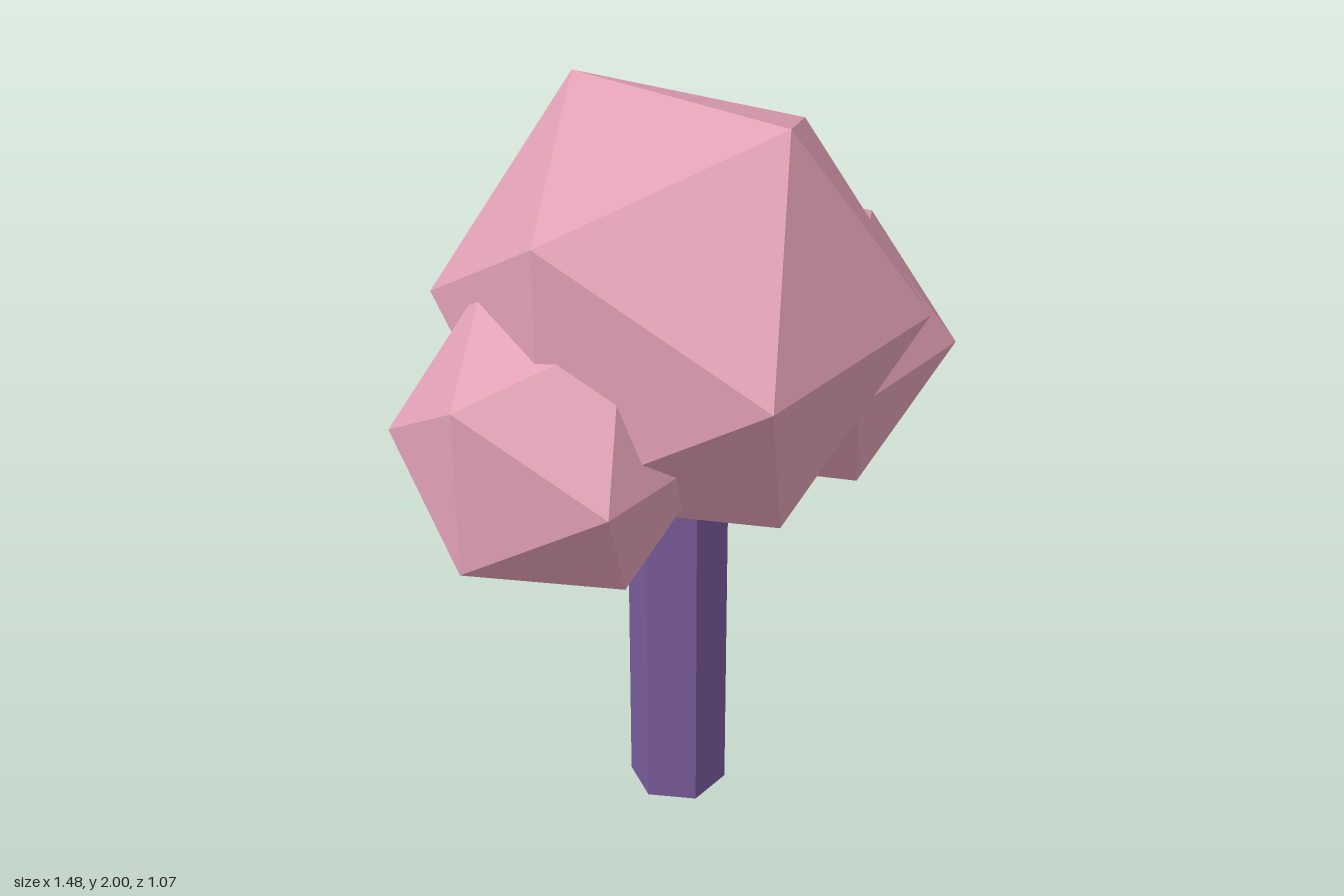
import * as THREE from 'three';

export function createModel() {
  const model = new THREE.Group();
  model.name = 'tree';

  const foliage = new THREE.MeshStandardMaterial({ color: 0xe2a1b6, flatShading: true });
  foliage.name = 'pink foliage';
  const bark = new THREE.MeshStandardMaterial({ color: 0x785a9a, flatShading: true });
  bark.name = 'purple bark';

  // Six-sided trunk, its top hidden inside the crown
  const trunkHeight = 1.2;
  const trunkShape = new THREE.CylinderGeometry(0.133, 0.133, trunkHeight, 6);
  trunkShape.rotateY(Math.PI / 2);
  const trunk = new THREE.Mesh(trunkShape, bark);
  trunk.name = 'trunk';
  trunk.position.set(-0.008, trunkHeight / 2, 0);
  model.add(trunk);

  // Faceted leaf clumps, each with its top ridge running front to back
  const addClump = (name, radius, x, y, z) => {
    const shape = new THREE.IcosahedronGeometry(radius, 0);
    shape.rotateY(Math.PI / 2);
    const clump = new THREE.Mesh(shape, foliage);
    clump.name = name;
    clump.position.set(x, y, z);
    model.add(clump);
  };
  addClump('crown', 0.627, -0.008, 1.467, 0);
  addClump('rightClump', 0.415, -0.387, 1.217, -0.085);
  addClump('leftClump', 0.433, 0.37, 1.26, 0.082);

  return model;
}
